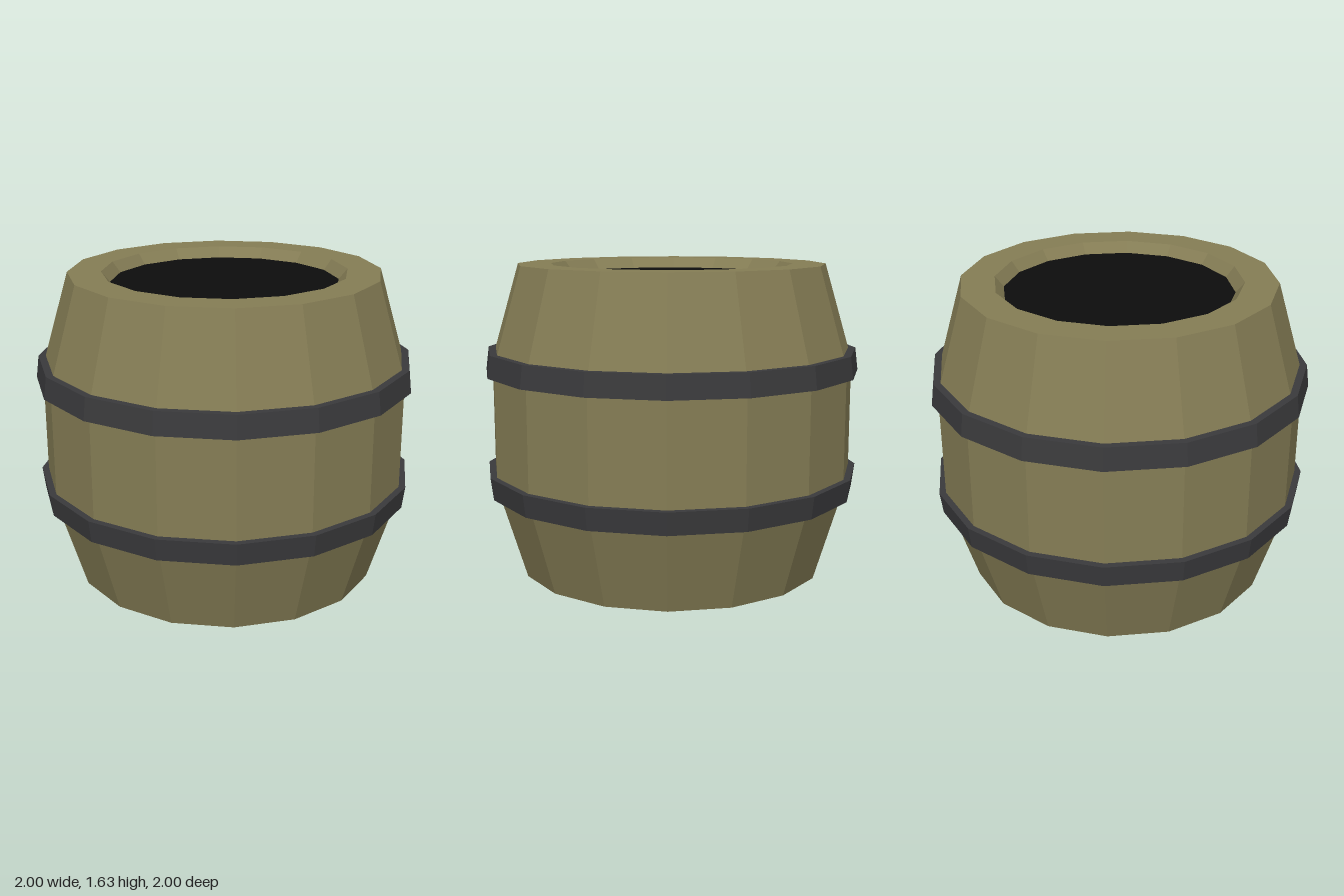
import * as THREE from 'three';

const SIDES = 16;
const material = (color) => new THREE.MeshStandardMaterial({ color, flatShading: true });

// Revolve a [radius, height] profile; outer walls run upwards
function turned(name, profile, mat) {
  const points = profile.map(([r, y]) => new THREE.Vector2(r, y));
  const mesh = new THREE.Mesh(new THREE.LatheGeometry(points, SIDES), mat);
  mesh.name = name;
  return mesh;
}

export function createModel() {
  const barrel = new THREE.Group();
  barrel.name = 'barrel';
  const wood = material(0x857d55);
  const iron = material(0x3a3a3c);

  // Wooden body with recessed base, bulging wall and bevelled rim
  barrel.add(turned('body', [
    [0, 0.05], [0.595, 0.05], [0.64, 0], [0.815, 0],
    [0.965, 0.495], [0.965, 1.125],
    [0.815, 1.633], [0.64, 1.633], [0.595, 1.578],
  ], wood));

  // Dark opening just below the rim
  const opening = new THREE.Mesh(new THREE.CircleGeometry(0.595, SIDES), material(0x0d0d0d));
  opening.name = 'opening';
  opening.rotation.x = -Math.PI / 2;
  opening.position.y = 1.578;
  barrel.add(opening);

  // Iron hoops, each wider towards the belly
  const hoops = [
    ['lowerHoop', 0.433, 0.985, 0.55, 1],
    ['upperHoop', 1.07, 1, 1.187, 0.985],
  ];
  for (const [name, y0, r0, y1, r1] of hoops) {
    barrel.add(turned(name, [
      [r0 - 0.06, y0], [r0, y0], [r1, y1], [r1 - 0.06, y1], [r0 - 0.06, y0],
    ], iron));
  }
  return barrel;
}
